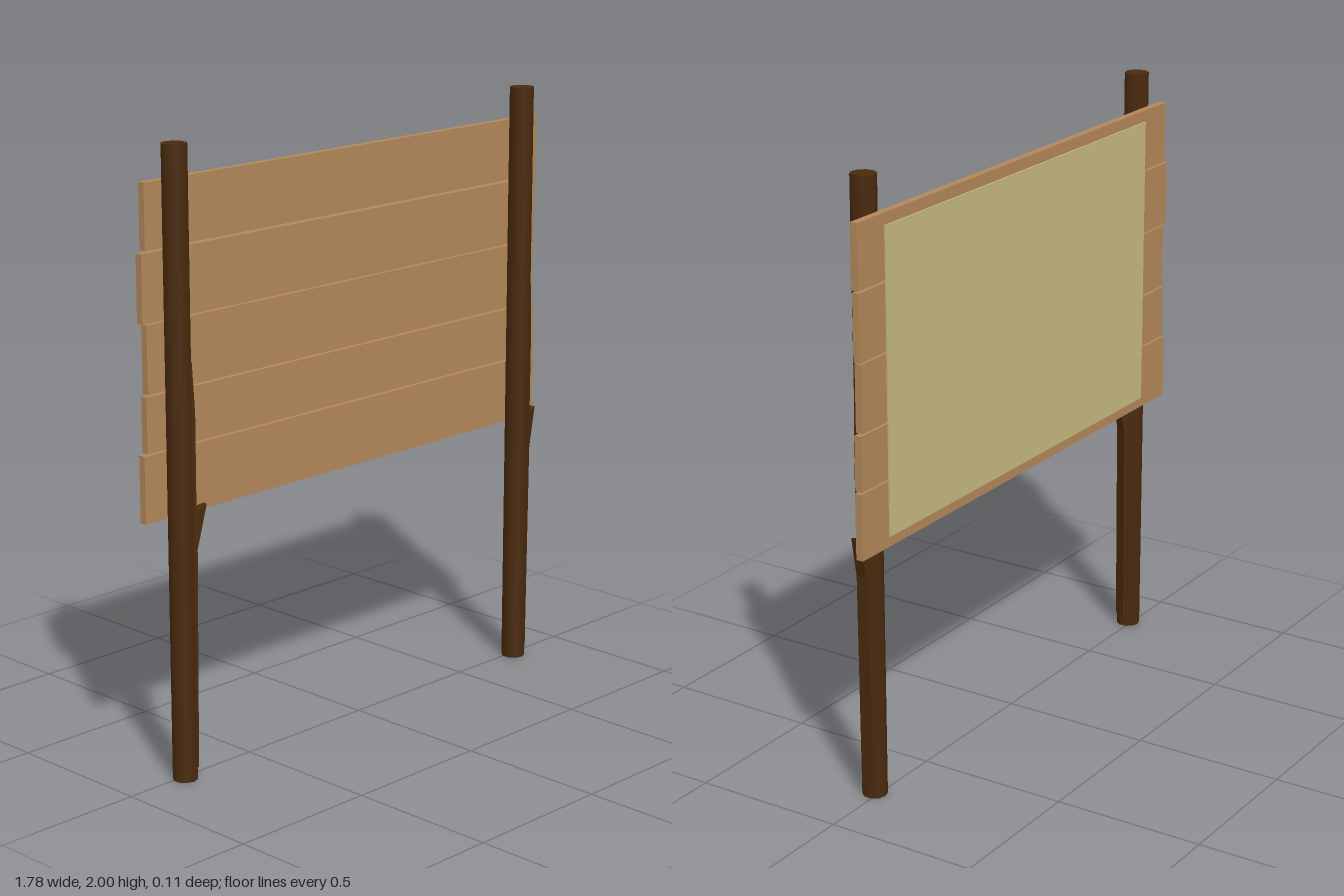
import * as THREE from 'three';

export function createModel() {
  const group = new THREE.Group();
  const mat = (name, color) => {
    const m = new THREE.MeshStandardMaterial({ color });
    m.name = name;
    return m;
  };
  const darkWood = mat('dark wood', 0x4a2a0d);
  const plankWood = mat('plank wood', 0xb3885a);
  const paper = mat('pale panel', 0xc6b980);

  const add = (name, geometry, material, parent = group) => {
    const mesh = new THREE.Mesh(geometry, material);
    mesh.name = name;
    parent.add(mesh);
    return mesh;
  };
  // Box given by its limits
  const slab = (name, material, x0, x1, y0, y1, z0, z1) =>
    add(name, new THREE.BoxGeometry(x1 - x0, y1 - y0, z1 - z0), material)
      .position.set((x0 + x1) / 2, (y0 + y1) / 2, (z0 + z1) / 2);

  // Broken branch stub with a sloping top, swelling slightly along the post
  const stubProfile = new THREE.Shape([
    [0.02, 0.04], [0.038, 0.04], [0.046, 0.75], [0.08, 0.888],
    [0.044, 0.873], [0.045, 1.18], [0.036, 1.34], [0.02, 1.34],
  ].map(([x, y]) => new THREE.Vector2(x, y)));

  function stubGeometry() {
    const g = new THREE.ExtrudeGeometry(stubProfile, { depth: 1, bevelEnabled: false });
    const p = g.attributes.position;
    // Narrow the stub towards its tip
    for (let i = 0; i < p.count; i++) {
      const width = THREE.MathUtils.mapLinear(p.getX(i), 0.02, 0.08, 0.052, 0.024);
      p.setZ(i, (p.getZ(i) - 0.5) * width);
    }
    g.computeVertexNormals();
    return g;
  }

  // Two round posts, each with a stub turned its own way
  [['rightPost', -0.787, -0.4], ['leftPost', 0.763, 0]].forEach(([name, x, turn]) => {
    const post = new THREE.Group();
    post.name = name;
    post.position.set(x, 0, 0.013);
    group.add(post);
    const pole = new THREE.CylinderGeometry(0.04, 0.04, 2, 10);
    add('pole', pole, darkWood, post).position.y = 1;
    add('branchStub', stubGeometry(), darkWood, post).rotation.y = turn;
  });

  // Uneven horizontal planks, top to bottom
  [
    [-0.874, 0.886, 1.684, 1.888],
    [-0.89, 0.882, 1.464, 1.677],
    [-0.874, 0.877, 1.245, 1.459],
    [-0.88, 0.886, 1.063, 1.239],
    [-0.893, 0.888, 0.844, 1.057],
  ].forEach(([x0, x1, y0, y1], i) =>
    slab(`plank${i + 1}`, plankWood, x0, x1, y0, y1, -0.05, -0.026));

  // Thin notice panel on the back
  slab('noticePanel', paper, -0.735, 0.752, 0.878, 1.85, -0.055, -0.049);

  return group;
}
